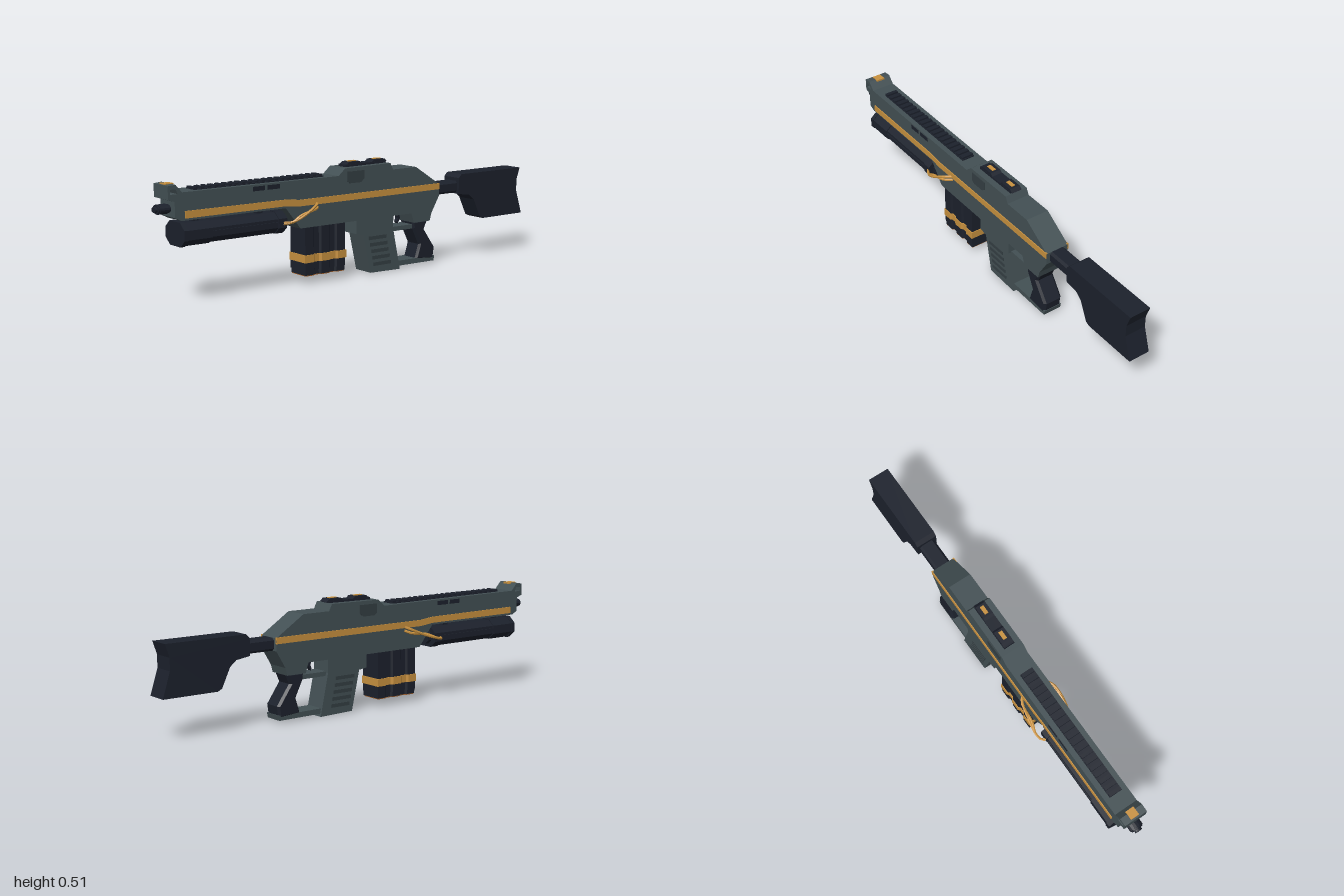
import * as THREE from 'three';

const paint = (color) => new THREE.MeshStandardMaterial({ color, flatShading: true });
const V = (x, y, z) => new THREE.Vector3(x, y, z);

export function createModel() {
  const root = new THREE.Group();
  root.name = 'rifle';
  const g = new THREE.Group();
  g.name = 'parts';
  g.position.x = -0.002;
  root.add(g);

  const grey = paint(0x435054), panel = paint(0x343f43), dark = paint(0x1c212c);
  const gold = paint(0xc8913f), base = paint(0xa0602c);

  const add = (name, geo, mat, x = 0, y = 0, z = 0) => {
    const m = new THREE.Mesh(geo, mat);
    m.name = name;
    m.position.set(x, y, z);
    g.add(m);
    return m;
  };
  const outline = (pts) => new THREE.Shape(pts.map((p) => new THREE.Vector2(p[0], p[1])));

  // Side profile in (z, y), given a width across x; bevel trims the long edges
  const slab = (name, pts, width, mat, { bevel = 0, x = 0, hole } = {}) => {
    const s = outline(pts);
    if (hole) s.holes.push(new THREE.Path(hole.map((p) => new THREE.Vector2(p[0], p[1]))));
    const depth = width - 2 * bevel;
    const geo = new THREE.ExtrudeGeometry(s, {
      depth, bevelEnabled: bevel > 0, bevelSize: bevel, bevelOffset: -bevel,
      bevelThickness: bevel, bevelSegments: 1,
    });
    geo.translate(0, 0, -depth / 2);
    geo.rotateY(-Math.PI / 2);
    return add(name, geo, mat, x);
  };
  // Box from its z and y ranges
  const block = (name, w, y0, y1, z0, z1, mat, x = 0) =>
    add(name, new THREE.BoxGeometry(w, y1 - y0, z1 - z0), mat, x, (y0 + y1) / 2, (z0 + z1) / 2);

  // Receiver and barrel shroud in one profile, with a sight hook at the front
  slab('receiver', [
    [0.935, 0.36], [0.935, 0.425], [0.965, 0.435], [0.965, 0.49], [0.93, 0.493], [0.9, 0.46],
    [0.12, 0.457], [0.085, 0.487], [-0.17, 0.49], [-0.185, 0.46], [-0.32, 0.46], [-0.46, 0.37],
    [-0.46, 0.315], [-0.415, 0.24], [-0.405, 0.205], [-0.31, 0.205], [-0.295, 0.25],
    [0.325, 0.25], [0.4, 0.345], [0.905, 0.345],
  ], 0.11, grey, { hole: [[0.921, 0.455], [0.955, 0.455], [0.955, 0.475], [0.93, 0.475]] });
  block('frontSightMark', 0.04, 0.487, 0.495, 0.918, 0.958, gold);

  // Oval muzzle
  const muzzle = new THREE.Group();
  muzzle.name = 'muzzle';
  muzzle.position.y = 0.392;
  muzzle.scale.y = 0.66;
  g.add(muzzle);
  for (const [r, z, len] of [[0.026, 0.95, 0.08], [0.031, 0.965, 0.04], [0.017, 0.985, 0.03]]) {
    const ring = new THREE.Mesh(new THREE.CylinderGeometry(r, r, len, 16).rotateX(Math.PI / 2), dark);
    ring.name = 'muzzleRing';
    ring.position.z = z;
    muzzle.add(ring);
  }

  // Gold side stripes, vent slots and hump panels, on both sides
  const stripe = [[0.89, 0.354], [0.89, 0.384], [0.4, 0.382], [0.33, 0.374], [-0.46, 0.374],
    [-0.46, 0.346], [0.33, 0.346], [0.4, 0.354]];
  for (const s of [-1, 1]) {
    slab('stripe', stripe, 0.008, gold, { x: s * 0.055 });
    block('ventSlot', 0.004, 0.432, 0.451, 0.505, 0.565, dark, s * 0.0545);
    block('ventSlot', 0.004, 0.432, 0.451, 0.43, 0.492, dark, s * 0.0545);
    slab('humpPanel', [[0.075, 0.43], [0.075, 0.472], [-0.02, 0.472], [-0.02, 0.435], [0, 0.42], [0.06, 0.42]],
      0.006, panel, { x: s * 0.055 });
  }

  // Toothed top rail
  block('railBase', 0.062, 0.45, 0.462, 0.185, 0.83, dark);
  for (let i = 0; i < 20; i++) {
    const z = 0.19 + i * 0.0328;
    block('railTooth', 0.058, 0.46, 0.47, z, z + 0.017, dark);
  }

  // Low optic with two raised ends
  block('opticBase', 0.052, 0.485, 0.498, -0.165, 0.06, dark);
  for (const z of [0.01, -0.13]) {
    slab('opticBlock', [[z + 0.045, 0.495], [z + 0.03, 0.508], [z - 0.03, 0.508], [z - 0.045, 0.495]], 0.05, dark);
    block('opticMark', 0.018, 0.5, 0.511, z - 0.02, z + 0.02, gold);
  }

  // Octagonal launcher under the barrel
  const tube = (name, rx, ry, z0, z1, mat) => {
    const cx = rx * 0.55, cy = ry * 0.42;
    const s = outline([[rx, -cy], [rx, cy], [cx, ry], [-cx, ry], [-rx, cy], [-rx, -cy], [-cx, -ry], [cx, -ry]]);
    add(name, new THREE.ExtrudeGeometry(s, { depth: z1 - z0, bevelEnabled: false }), mat, 0, 0.286, z0);
  };
  tube('launcherFrontCap', 0.074, 0.05, 0.885, 0.905, dark);
  tube('launcherFront', 0.071, 0.047, 0.77, 0.885, dark);
  tube('launcherTube', 0.065, 0.044, 0.44, 0.77, dark);
  tube('launcherRearCap', 0.07, 0.047, 0.405, 0.445, dark);
  tube('launcherPlug', 0.045, 0.032, 0.385, 0.41, dark);
  for (const z of [0.82, 0.51]) block('launcherMount', 0.04, 0.32, 0.352, z - 0.015, z + 0.015, dark);
  for (const s of [-1, 1]) block('launcherRib', 0.01, 0.279, 0.293, 0.45, 0.83, dark, s * 0.065);

  // Feed cables from the stripe to the launcher, two on each side
  const cable = (pts) => add('cable',
    new THREE.TubeGeometry(new THREE.CatmullRomCurve3(pts), 14, 0.006, 6), gold);
  for (const d of [0, 0.016]) {
    cable([V(0.052, 0.35 - d, 0.235), V(0.082, 0.348 - d, 0.26), V(0.094 - d / 3, 0.312, 0.33 + d),
      V(0.084, 0.288, 0.385), V(0.062, 0.28 + d / 2, 0.425)]);
    cable([V(-0.053, 0.35 - d, 0.235), V(-0.07, 0.338 - d, 0.262), V(-0.083 + d / 3, 0.31, 0.33 + d),
      V(-0.092, 0.29, 0.395), V(-0.084, 0.282, 0.43), V(-0.062, 0.278 + d / 2, 0.44)]);
  }

  // Fluted magazine: a cross-section in (x, z), grooved on both long sides
  const magZ = [0.3, 0.255, 0.247, 0.222, 0.214, 0.17, 0.162, 0.137, 0.129, 0.085];
  const magX = [0.054, 0.054, 0.046, 0.046, 0.054, 0.054, 0.046, 0.046, 0.054, 0.054];
  const magazine = (name, grow, y0, y1, mat) => {
    const pts = magZ.map((z, i) => [magX[i] + grow, -(0.1925 + (z - 0.1925) * (1 + grow * 9))]);
    const s = outline([...pts, ...pts.map(([x, z]) => [-x, z]).reverse()]);
    const geo = new THREE.ExtrudeGeometry(s, { depth: y1 - y0, bevelEnabled: false });
    add(name, geo.rotateX(-Math.PI / 2), mat, 0, y0);
  };
  magazine('magazine', 0, 0.06, 0.255, dark);
  magazine('magazineFoot', -0.002, 0.04, 0.06, dark);
  magazine('magazineBand', 0.004, 0.096, 0.13, gold);
  magazine('magazineBase', -0.004, 0.036, 0.041, base);

  // Slanted front grip block with ridges
  slab('frontGrip', [[0.02, 0.255], [0.02, 0.19], [-0.02, 0.185], [-0.06, 0.006], [-0.23, 0.002],
    [-0.19, 0.19], [-0.19, 0.255]], 0.104, grey);
  for (const s of [-1, 1]) {
    for (let i = 0; i < 5; i++) {
      const y = 0.035 + i * 0.03, z = -0.075 + i * 0.0065;
      slab('gripRidge', [[z, y], [z, y + 0.016], [z - 0.1, y + 0.016], [z - 0.1, y]], 0.005, panel, { x: s * 0.052 });
    }
  }

  // Trigger, guard and lower bridge
  slab('trigger', [[-0.245, 0.255], [-0.262, 0.255], [-0.264, 0.225], [-0.252, 0.203], [-0.247, 0.21], [-0.253, 0.228]],
    0.02, dark);
  block('triggerGuard', 0.075, 0.176, 0.196, -0.315, -0.185, grey);
  slab('lowerBridge', [[-0.2, 0.038], [-0.2, 0.015], [-0.44, 0.013], [-0.445, 0.036]], 0.088, grey);

  // Rear pistol grip
  slab('pistolGrip', [[-0.31, 0.21], [-0.405, 0.21], [-0.385, 0.165], [-0.448, 0.075], [-0.44, 0.02],
    [-0.33, 0.03], [-0.352, 0.1], [-0.315, 0.175]], 0.092, dark, { bevel: 0.01 });

  // Shoulder stock on its rod
  slab('stockRod', [[-0.44, 0.315], [-0.44, 0.37], [-0.61, 0.37], [-0.61, 0.315]], 0.074, dark, { bevel: 0.01 });
  slab('stock', [[-0.588, 0.31], [-0.588, 0.385], [-0.605, 0.402], [-0.985, 0.402], [-0.965, 0.345], [-0.965, 0.29],
    [-1, 0.18], [-0.745, 0.18], [-0.725, 0.19], [-0.685, 0.275], [-0.655, 0.3]], 0.1, dark);

  return root;
}
